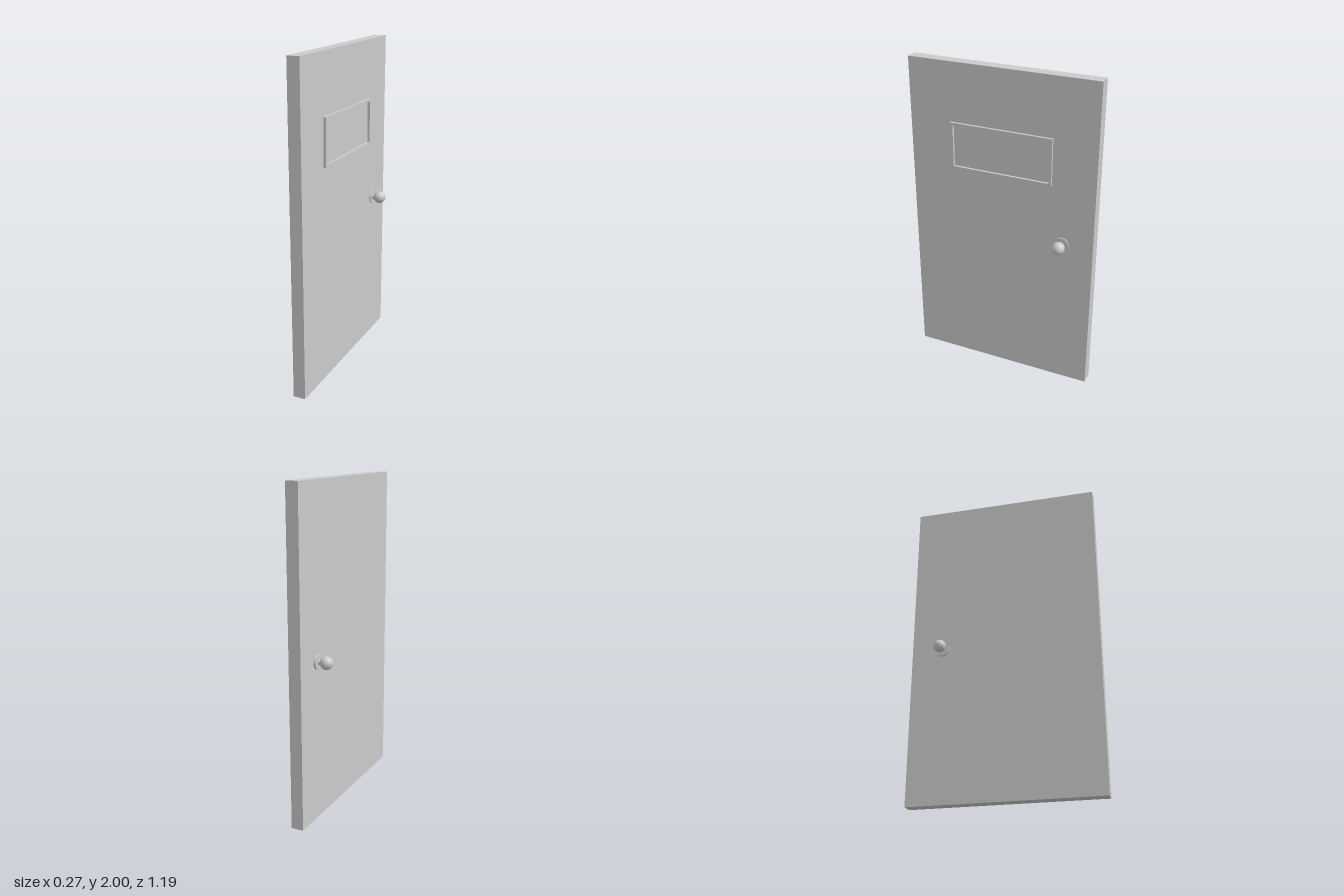
import * as THREE from 'three';

export function createModel() {
  const root = new THREE.Group();
  root.name = 'door';
  const mat = new THREE.MeshStandardMaterial({ color: 0xcccccc });
  const add = (name, geometry, parent) => {
    const mesh = new THREE.Mesh(geometry, mat);
    mesh.name = name;
    parent.add(mesh);
    return mesh;
  };

  // The whole door stands slightly ajar
  const leaf = new THREE.Group();
  leaf.name = 'doorLeaf';
  leaf.position.set(0.0095, 0, 0);
  leaf.rotation.y = 0.0203;
  root.add(leaf);

  const thickness = 0.076;
  const face = thickness / 2;

  // Flat slab
  add('slab', new THREE.BoxGeometry(thickness, 2, 1.185), leaf).position.y = 1;

  // Raised rectangular moulding on the left face
  const rect = (Type, w, h) => {
    const s = new Type();
    s.moveTo(-w / 2, -h / 2);
    s.lineTo(w / 2, -h / 2);
    s.lineTo(w / 2, h / 2);
    s.lineTo(-w / 2, h / 2);
    s.closePath();
    return s;
  };
  const outline = rect(THREE.Shape, 0.647, 0.291);
  outline.holes.push(rect(THREE.Path, 0.613, 0.261));
  const frame = add('windowFrame',
    new THREE.ExtrudeGeometry(outline, { depth: 0.0165, bevelEnabled: false }), leaf);
  frame.rotation.y = Math.PI / 2;
  frame.position.set(face - 0.001, 1.492, 0);

  // A knob on each face: rosette, stem and ball
  for (const [side, name] of [[1, 'leftKnob'], [-1, 'rightKnob']]) {
    const knob = new THREE.Group();
    knob.name = name;
    knob.position.set(-0.0025, 0.975, -0.396);
    knob.rotation.z = -side * Math.PI / 2;
    leaf.add(knob);

    add('rosette', new THREE.CylinderGeometry(0.045, 0.045, 0.014, 32), knob)
      .position.y = face + 0.003;
    add('stem', new THREE.CylinderGeometry(0.017, 0.017, 0.04, 24), knob)
      .position.y = face + 0.02;
    add('ball', new THREE.SphereGeometry(0.039, 32, 20), knob).position.y = 0.095;
  }

  return root;
}
